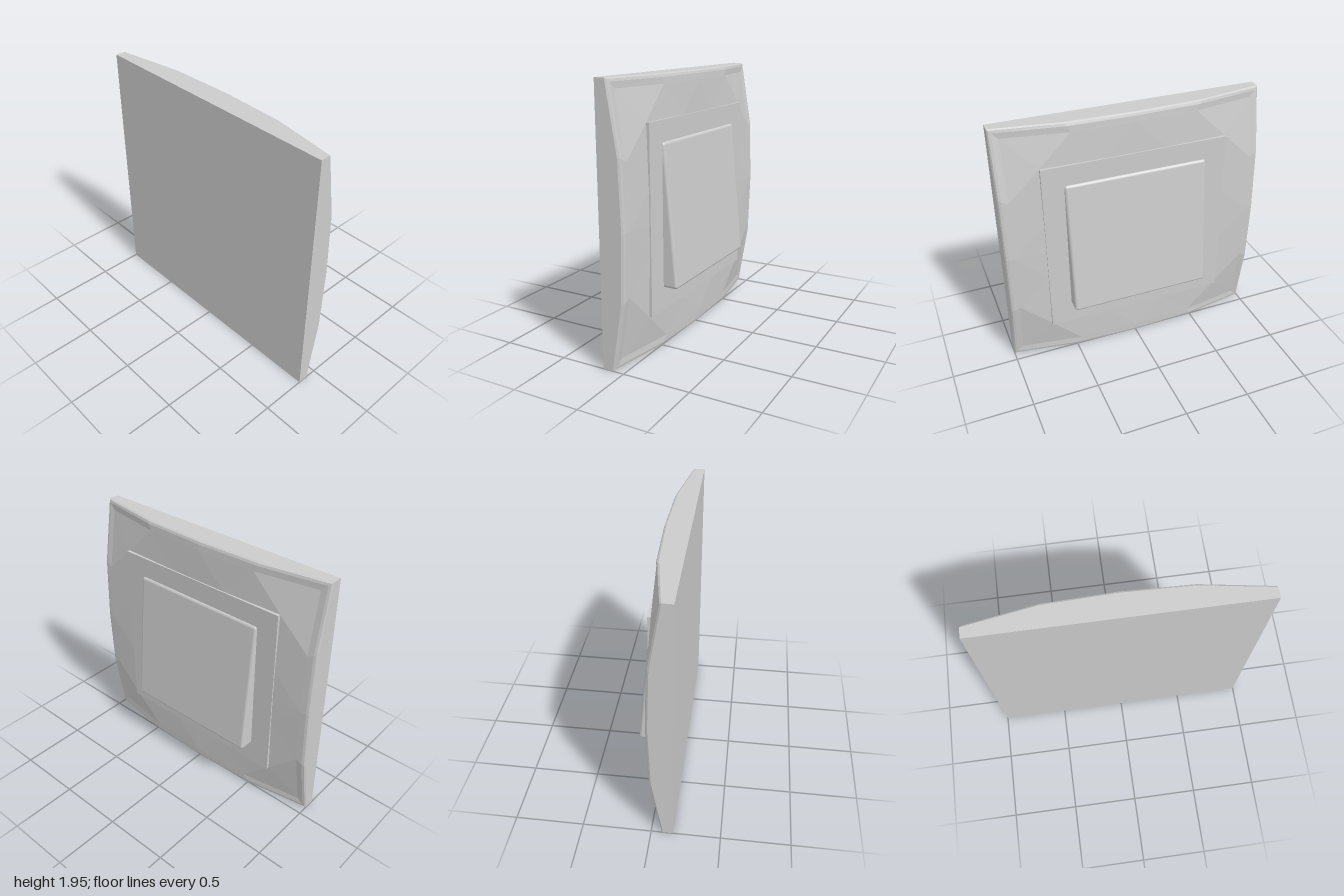
import * as THREE from 'three';
import { RoundedBoxGeometry } from 'three/addons/geometries/RoundedBoxGeometry.js';

const MID_Y = 0.975;

// Sixteen points around the frame at a given inset. Heights (x) are for the
// corner, quarter and middle of each side; quarter is its place along the half side.
function ring(inset, [corner, quarter, middle], quarterAt = 0.5) {
  const hz = 1 - inset, hy = MID_Y - inset;
  const corners = [[1, -1], [-1, -1], [-1, 1], [1, 1]];
  const along = [0, (1 - quarterAt) / 2, 0.5, (1 + quarterAt) / 2];
  const heights = [corner, quarter, middle, quarter];
  const points = [];
  for (let side = 0; side < 4; side++) {
    const a = corners[side], b = corners[(side + 1) % 4];
    for (let k = 0; k < 4; k++) {
      const z = a[0] + (b[0] - a[0]) * along[k];
      const y = a[1] + (b[1] - a[1]) * along[k];
      points.push([heights[k], MID_Y + y * hy, z * hz]);
    }
  }
  return points;
}

// Domed, faceted frame: back, side walls, rounded rim, then the sloping face
function frameGeometry() {
  const rings = [
    ring(0, [-0.16, -0.16, -0.16]),
    ring(0, [-0.085, -0.005, 0.012]),
    ring(0.008, [-0.073, 0.008, 0.024]),
    ring(0.025, [-0.066, 0.015, 0.03]),
    ring(0.07, [-0.06, 0.018, 0.033]),
    ring(0.3, [0.022, 0.035, 0.036], 0.33),
  ];
  const positions = [];
  const triangle = (...corners) => corners.forEach((p) => positions.push(...p));
  for (let r = 0; r < rings.length - 1; r++) {
    const a = rings[r], b = rings[r + 1];
    for (let j = 0; j < 16; j++) {
      const n = (j + 1) % 16;
      // Diagonals mirror about the middle of each side
      if (j % 4 < 2) {
        triangle(a[j], a[n], b[j]);
        triangle(a[n], b[n], b[j]);
      } else {
        triangle(a[j], a[n], b[n]);
        triangle(a[j], b[n], b[j]);
      }
    }
  }
  const back = rings[0];
  triangle(back[0], back[12], back[8]);
  triangle(back[0], back[8], back[4]);
  const geometry = new THREE.BufferGeometry();
  geometry.setAttribute('position', new THREE.Float32BufferAttribute(positions, 3));
  geometry.computeVertexNormals();
  return geometry;
}

// Rounded block sheared so its face leans out toward the bottom
function rockerGeometry() {
  const geometry = new RoundedBoxGeometry(0.16, 1.035, 1.08, 4, 0.022);
  const slope = -0.092;
  geometry.applyMatrix4(new THREE.Matrix4().set(
    1, slope, 0, 0,
    0, 1, 0, 0,
    0, 0, 1, 0,
    0, 0, 0, 1,
  ));
  return geometry.translate(0.026, 0.982, 0);
}

export function createModel() {
  const group = new THREE.Group();
  const material = new THREE.MeshStandardMaterial({ color: 0xcccccc });
  const add = (name, geometry) => {
    const mesh = new THREE.Mesh(geometry, material);
    mesh.name = name;
    group.add(mesh);
  };

  add('frame', frameGeometry());
  // Flat panel set into the frame
  add('innerPanel', new THREE.BoxGeometry(0.095, 1.35, 1.4).translate(-0.0025, MID_Y, 0));
  add('rocker', rockerGeometry());
  return group;
}
